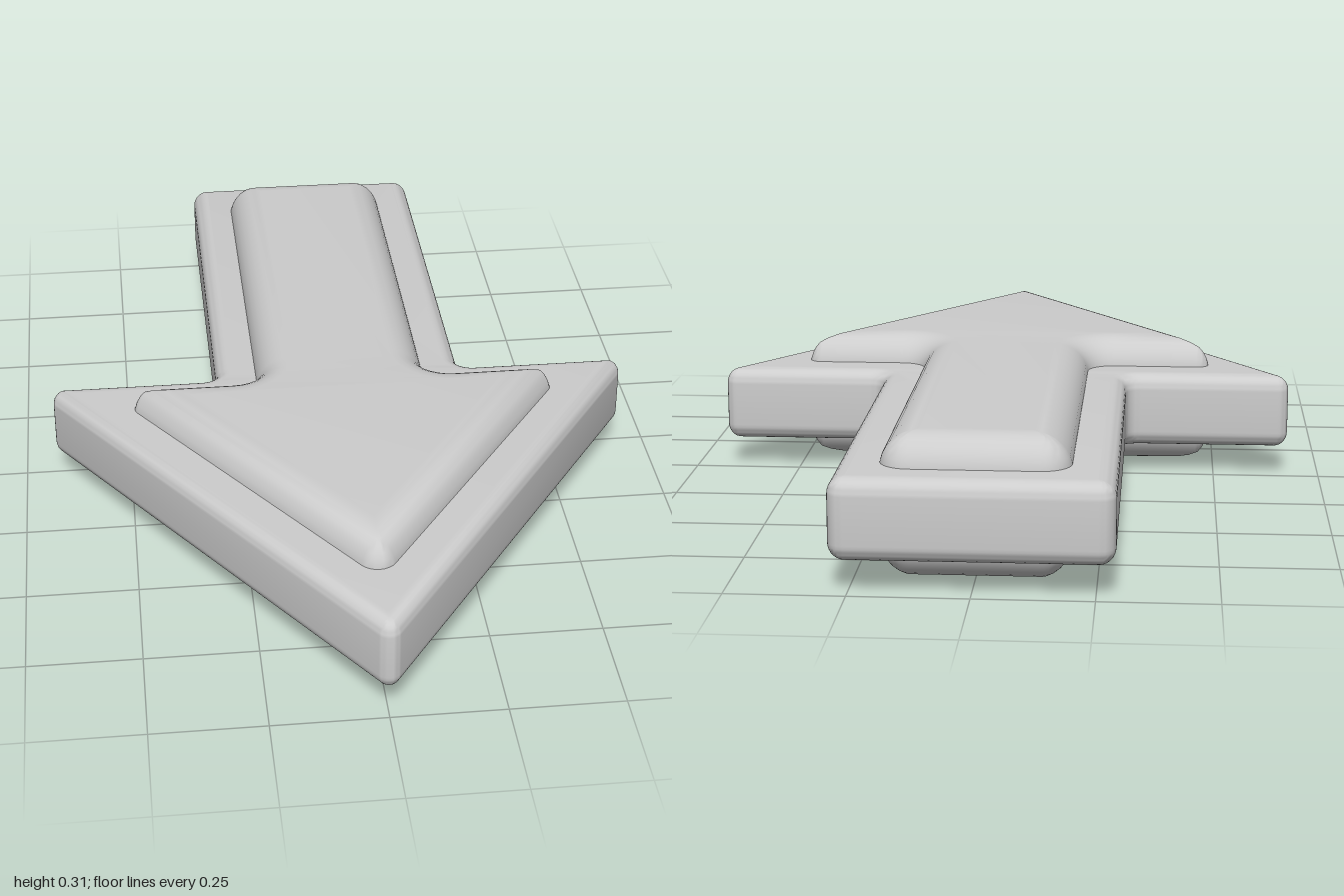
import * as THREE from 'three';
import { toCreasedNormals } from 'three/addons/utils/BufferGeometryUtils.js';

const CORNER_STEPS = 8, BEVEL_STEPS = 8;

// Sharp arrow corners [x, z, fillet radius], counter-clockwise from above
function arrowCorners({ tip, wing, back, shaft, end, rTip, rWing, rInner, rEnd }) {
  return [
    [0, tip, rTip], [wing, back, rWing], [shaft, back, rInner], [shaft, end, rEnd],
    [-shaft, end, rEnd], [-shaft, back, rInner], [-wing, back, rWing],
  ];
}

// Outline moved inward by d, every corner rounded with the same number of points
function roundedOutline(corners, d) {
  const n = corners.length, points = [];
  const normal = (a, b) => new THREE.Vector2(b[1] - a[1], a[0] - b[0]).normalize();
  corners.forEach((c, i) => {
    const n1 = normal(corners[(i + n - 1) % n], c);
    const n2 = normal(c, corners[(i + 1) % n]);
    const side = n1.cross(n2) < 0 ? 1 : -1; // 1 = outer corner, -1 = inner corner
    const r = side > 0 ? Math.max(c[2] - d, 0.004) : c[2] + d;
    const k = (d + side * r) / (1 + n1.dot(n2));
    const cx = c[0] + (n1.x + n2.x) * k, cz = c[1] + (n1.y + n2.y) * k;
    const a1 = Math.atan2(n1.y, n1.x);
    const turn = Math.atan2(n1.cross(n2), n1.dot(n2));
    for (let s = 0; s <= CORNER_STEPS; s++) {
      const a = a1 + turn * s / CORNER_STEPS;
      points.push([cx - side * r * Math.cos(a), cz - side * r * Math.sin(a)]);
    }
  });
  return points;
}

// Flat slab with quarter-round top and bottom edges
function bevelledSlab(corners, midY, halfHeight, bevel) {
  const levels = [];
  for (const sign of [-1, 1]) {
    for (let s = 0; s <= BEVEL_STEPS; s++) {
      const t = (sign < 0 ? BEVEL_STEPS - s : s) / BEVEL_STEPS * Math.PI / 2;
      levels.push([bevel * (1 - Math.cos(t)), midY + sign * (halfHeight - bevel + bevel * Math.sin(t))]);
    }
  }
  const rings = levels.map(([d]) => roundedOutline(corners, d));
  const count = rings[0].length, positions = [], index = [];
  rings.forEach((ring, l) => ring.forEach(([x, z]) => positions.push(x, levels[l][1], z)));

  // Walls
  for (let l = 0; l < rings.length - 1; l++) {
    for (let i = 0; i < count; i++) {
      const j = (i + 1) % count, a = l * count, b = a + count;
      index.push(a + i, a + j, b + j, a + i, b + j, b + i);
    }
  }
  // Top and bottom faces
  const last = (rings.length - 1) * count;
  const contour = rings[rings.length - 1].map(([x, z]) => new THREE.Vector2(x, -z));
  for (const [a, b, c] of THREE.ShapeUtils.triangulateShape(contour, [])) {
    index.push(last + a, last + b, last + c, c, b, a);
  }

  const geometry = new THREE.BufferGeometry();
  geometry.setAttribute('position', new THREE.Float32BufferAttribute(positions, 3));
  geometry.setIndex(index);
  return toCreasedNormals(geometry, 0.6);
}

export function createModel() {
  const group = new THREE.Group();
  group.name = 'arrow';
  const grey = new THREE.MeshStandardMaterial({ color: 0xcccccc });
  grey.name = 'light grey';
  const midY = 0.154;

  const add = (name, outline, halfHeight, bevel) => {
    const mesh = new THREE.Mesh(bevelledSlab(arrowCorners(outline), midY, halfHeight, bevel), grey);
    mesh.name = name;
    group.add(mesh);
  };

  // Wide, thin border plate
  add('borderPlate', {
    tip: 1.022, wing: 0.697, back: 0, shaft: 0.29, end: -1,
    rTip: 0.028, rWing: 0.025, rInner: 0.035, rEnd: 0.035,
  }, 0.0875, 0.037);

  // Narrower, thicker core rising out of both faces
  add('raisedCore', {
    tip: 0.848, wing: 0.514, back: 0.098, shaft: 0.198, end: -0.912,
    rTip: 0.045, rWing: 0.03, rInner: 0.06, rEnd: 0.065,
  }, 0.154, 0.08);

  return group;
}
